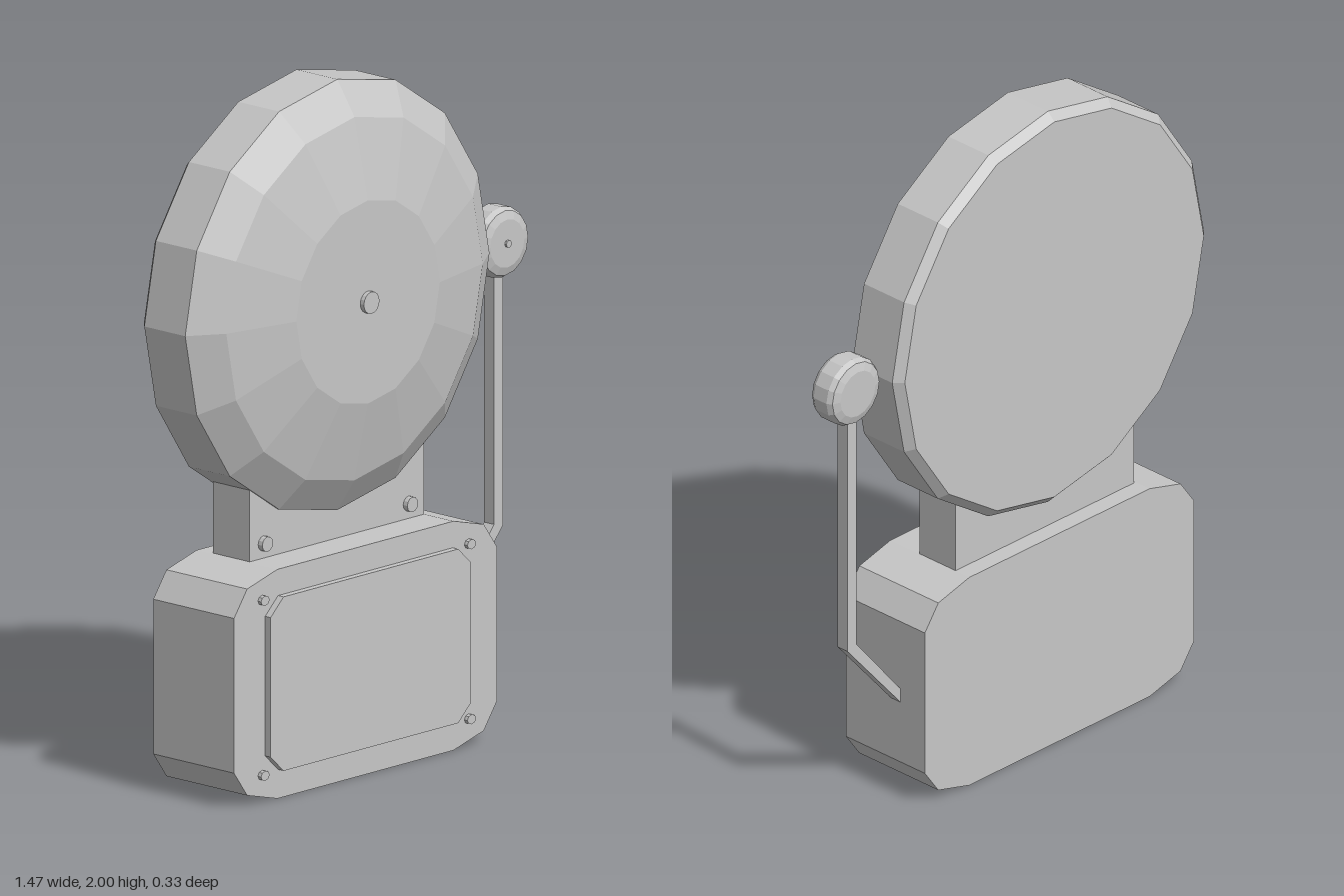
import * as THREE from 'three';

export function createModel() {
  const group = new THREE.Group();
  const metal = new THREE.MeshStandardMaterial({ color: 0xc6c6c6 });
  metal.name = 'grey metal';

  // Adds a faceted mesh
  function add(name, geometry, x = 0, y = 0, z = 0) {
    const flat = geometry.index ? geometry.toNonIndexed() : geometry;
    flat.computeVertexNormals();
    const mesh = new THREE.Mesh(flat, metal);
    mesh.name = name;
    mesh.position.set(x, y, z);
    group.add(mesh);
    return mesh;
  }

  // Profile of [radius, z] pairs, back to front, turned about the z axis
  const turned = (profile, sides) =>
    new THREE.LatheGeometry(profile.map(([r, z]) => new THREE.Vector2(r, z)), sides)
      .rotateX(Math.PI / 2);

  const slab = (points, z0, z1) =>
    new THREE.ExtrudeGeometry(
      new THREE.Shape(points.map(([x, y]) => new THREE.Vector2(x, y))),
      { depth: z1 - z0, bevelEnabled: false }
    ).translate(0, 0, z0);

  // Mirrors one corner (given as insets from the edges) round a rectangle
  function cornered(w, h, corner) {
    const q = corner.map(([dx, dy]) => [w / 2 - dx, h / 2 - dy]);
    const back = [...q].reverse();
    return [
      ...q,
      ...back.map(([x, y]) => [-x, y]),
      ...q.map(([x, y]) => [-x, -y]),
      ...back.map(([x, y]) => [x, -y]),
    ];
  }

  const cx = -0.11;

  // Bell gong
  add('gong', turned([
    [0, -0.145], [0.6, -0.145], [0.625, -0.12], [0.625, 0.037],
    [0.527, 0.103], [0.295, 0.155], [0, 0.155],
  ], 16), cx, 1.375);
  add('gongBolt', turned([[0, 0.15], [0.032, 0.15], [0.032, 0.169], [0, 0.169]], 16), cx, 1.375);

  // Bracket behind the gong
  add('bracket', new THREE.BoxGeometry(0.715, 0.4, 0.142), cx + 0.003, 0.84, -0.039);

  // Housing and its raised cover
  add('housing', slab(cornered(1.08, 0.665, [[0, 0.108], [0.054, 0.033], [0.178, 0]]), -0.165, 0.145), cx, 0.3345);
  add('cover', slab(cornered(0.824, 0.505, [[0, 0.05], [0.053, 0]]), 0.14, 0.166), cx, 0.338);

  // Screws, mirrored left and right
  for (const side of [-1, 1]) {
    add('bracketBolt', turned([[0, 0.03], [0.022, 0.03], [0.022, 0.048], [0, 0.048]], 12),
      cx + side * 0.298, 0.71);
    for (const y of [0.082, 0.59]) {
      add('coverScrew', turned([[0, 0.14], [0.018, 0.14], [0.018, 0.157], [0, 0.157]], 8),
        cx + side * 0.424, y).scale.y = 0.8;
    }
  }

  // Bent striker arm
  add('strikerArm', slab([
    [0.607, 1.3], [0.607, 0.557], [0.41, 0.32], [0.41, 0.278], [0.643, 0.547], [0.643, 1.3],
  ], -0.069, -0.031));

  // Striker head with a small pin
  add('strikerHead', turned([
    [0, -0.095], [0.07, -0.095], [0.094, -0.087], [0.103, -0.072],
    [0.103, -0.022], [0.094, -0.007], [0.07, 0.001], [0, 0.001],
  ], 16), 0.627, 1.374);
  add('strikerPin', turned([[0, -0.01], [0.011, -0.01], [0.011, 0.008], [0, 0.008]], 8), 0.627, 1.374);

  return group;
}
